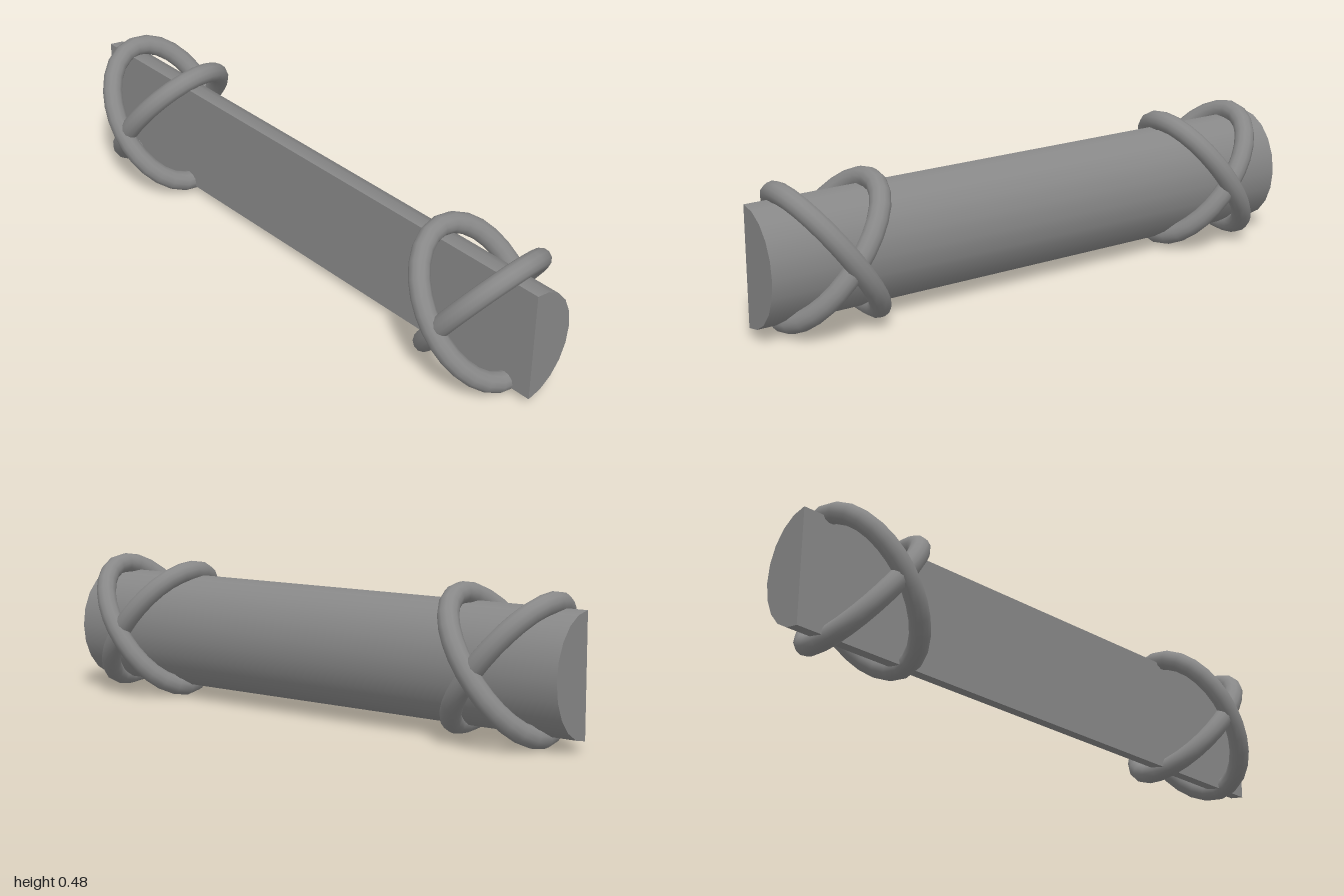
import * as THREE from 'three';

const material = new THREE.MeshStandardMaterial({ color: 0x888888 });

// Closed ellipse whose long axis leans in the xy plane and whose short axis is z
class LeaningEllipse extends THREE.Curve {
  constructor(halfX, halfY, halfZ) {
    super();
    Object.assign(this, { halfX, halfY, halfZ });
  }
  getPoint(t, target = new THREE.Vector3()) {
    const a = t * Math.PI * 2;
    return target.set(this.halfX * Math.cos(a), this.halfY * Math.cos(a), this.halfZ * Math.sin(a));
  }
}

function addMesh(parent, name, geometry, x, y, z) {
  const mesh = new THREE.Mesh(geometry, material);
  mesh.name = name;
  mesh.position.set(x, y, z);
  parent.add(mesh);
}

export function createModel() {
  const model = new THREE.Group();
  model.name = 'boundHalfLog';

  // Half log: rounded back with end caps, and a flat sawn front
  const log = new THREE.Group();
  log.name = 'halfLog';
  const height = 0.392, depth = 0.163, midY = 0.227, frontZ = 0.037;
  const back = new THREE.CylinderGeometry(1, 1, 2, 10, 1, false, 0, Math.PI);
  back.rotateZ(Math.PI / 2).rotateX(-Math.PI / 2).scale(1, height / 2, depth);
  addMesh(log, 'roundedBack', back, 0, midY, frontZ);
  addMesh(log, 'flatFront', new THREE.PlaneGeometry(2, height), 0, midY, frontZ);
  model.add(log);

  // Two crossed rope loops around each end
  const ropeRadius = 0.034, loopHalfZ = 0.191;
  const fallingLoop = new THREE.TubeGeometry(new LeaningEllipse(0.161, -0.2, loopHalfZ), 28, ropeRadius, 12, true);
  const risingLoop = new THREE.TubeGeometry(new LeaningEllipse(0.15, 0.208, loopHalfZ), 28, ropeRadius, 12, true);
  [['right', -0.742], ['left', 0.742]].forEach(([side, x]) => {
    const binding = new THREE.Group();
    binding.name = side + 'Binding';
    binding.position.x = x;
    addMesh(binding, side + 'FallingLoop', fallingLoop, 0.001, 0.241, 0.008);
    addMesh(binding, side + 'RisingLoop', risingLoop, 0.01, 0.242, -0.008);
    model.add(binding);
  });

  return model;
}
